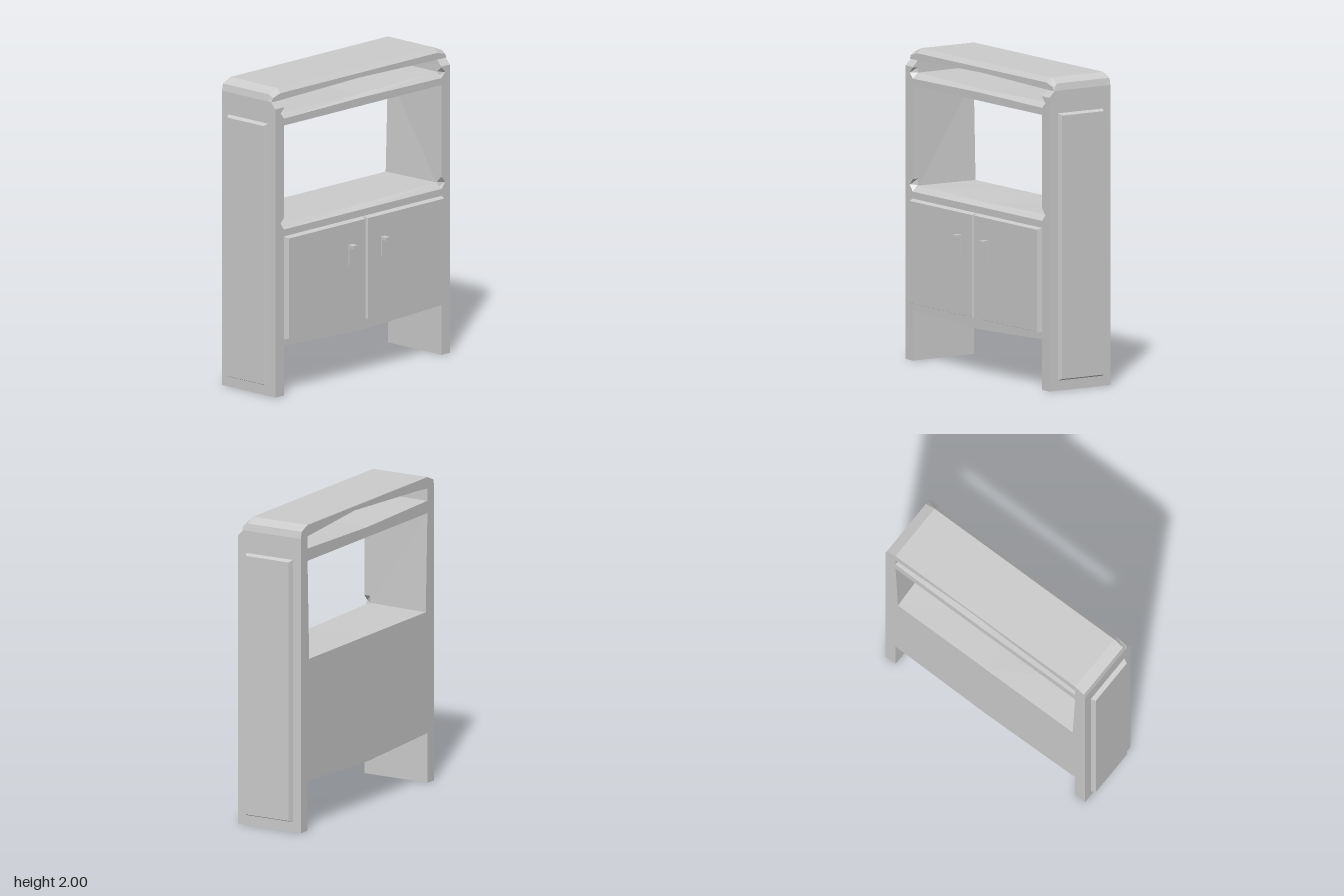
import * as THREE from 'three';
import { ConvexGeometry } from 'three/addons/geometries/ConvexGeometry.js';

const material = new THREE.MeshStandardMaterial({ color: 0xcccccc, flatShading: true });
const BACK = -0.275, FRONT = 0.195, BEVEL = 0.155, INNER = 0.72, OUTER = 0.8;

export function createModel() {
  const model = new THREE.Group();

  const add = (name, geometry, parent = model) => {
    const mesh = new THREE.Mesh(geometry, material);
    mesh.name = name;
    parent.add(mesh);
    return mesh;
  };
  // Box from its minimum and maximum corners
  const box = (x0, x1, y0, y1, z0, z1) =>
    new THREE.BoxGeometry(Math.abs(x1 - x0), y1 - y0, z1 - z0)
      .translate((x0 + x1) / 2, (y0 + y1) / 2, (z0 + z1) / 2);
  const extrude = (points, depth, steps = 1) =>
    new THREE.ExtrudeGeometry(new THREE.Shape(points.map(p => new THREE.Vector2(...p))),
      { depth, steps, bevelEnabled: false });
  // Moves every vertex by a rule that edits the vector in place
  const reshape = (geometry, rule) => {
    const pos = geometry.attributes.position, v = new THREE.Vector3();
    for (let i = 0; i < pos.count; i++) {
      rule(v.fromBufferAttribute(pos, i));
      pos.setXYZ(i, v.x, v.y, v.z);
    }
    geometry.computeVertexNormals();
    return geometry;
  };
  // Raised panel lying in xy, rising along +z to a smaller face
  const raisedPanel = (w, h, d, inset) =>
    reshape(new THREE.BoxGeometry(w, h, d).translate(0, 0, d / 2), v => {
      if (v.z > d / 2) {
        v.x -= Math.sign(v.x) * inset;
        v.y -= Math.sign(v.y) * inset;
      }
    });
  // Full-width block with a bevelled front edge; rule shifts the middle section
  const crossBlock = (y0, yEdge, yTop, middleRule) => {
    const profile = [[BACK, y0], [FRONT, y0], [FRONT, yEdge], [BEVEL, yTop], [BACK, yTop]];
    const geometry = extrude(profile, 2 * INNER, 2).rotateY(-Math.PI / 2).translate(INNER, 0, 0);
    return reshape(geometry, v => { if (Math.abs(v.x) < 0.01) middleRule(v); });
  };

  // Cabinet with a bowed underside, and the upper shelf
  add('cabinetBody', crossBlock(0.325, 1.085, 1.12, v => {
    if (v.y < 0.5) v.y = 0.297;
    else if (v.y > 1.1 && v.z > 0) v.y -= 0.01;
  }));
  add('upperShelf', crossBlock(1.765, 1.81, 1.845, v => {
    if (v.y > 1.83) v.y -= 0.015;
    else if (v.y > 1.8) v.y += 0.008;
  }));

  // Crown with chamfered ends, a bevelled front and an arched underside
  const crown = extrude([
    [-OUTER, 1.925], [-INNER, 1.925], [0, 1.94], [INNER, 1.925], [OUTER, 1.925],
    [0.79, 1.97], [INNER, 2], [-INNER, 2], [-0.79, 1.97],
  ], 1, 2);
  add('crown', reshape(crown, v => {
    const level = Math.round(v.z * 2);
    v.z = [BACK, 0.13, 0.162][level];
    if (level === 0 && Math.abs(v.x) < 0.01) v.y = 1.985;
    if (level === 2) {
      if (v.y > 1.99) v.y = 1.97;
      else if (v.y > 1.96) v.y = 1.95;
    }
  }));

  for (const s of [1, -1]) {
    const side = new THREE.Group();
    side.name = s > 0 ? 'leftSide' : 'rightSide';
    model.add(side);

    // Upright
    add('upright', box(s * INNER, s * OUTER, 0, 1.925, BACK, BEVEL), side);

    // Front edge of the upright, notched where the bevelled shelves meet it
    const strip = extrude([
      [INNER, 0], [OUTER, 0], [OUTER, 1.885], [INNER, 1.885],
      [INNER, 1.88], [0.755, 1.845], [INNER, 1.81],
      [INNER, 1.165], [0.755, 1.125], [INNER, 1.085],
    ].map(([x, y]) => [s * x, y]), FRONT - BEVEL).translate(0, 0, BEVEL);
    add('uprightFrontEdge', reshape(strip, v => {
      if (v.z > BEVEL + 0.01) return;
      if (Math.abs(Math.abs(v.x) - 0.755) < 0.001) v.x = s * INNER;
      if (v.y > 1.883) v.y = 1.925;
    }), side);

    // Inner wall leaning inward toward the lower back corner
    add('innerWallTaper', new ConvexGeometry([
      [INNER, 1.115, BEVEL], [INNER, 1.115, BACK], [0.7, 1.115, BACK], [INNER, 1.765, BACK],
    ].map(([x, y, z]) => new THREE.Vector3(s * x, y, z))), side);

    // Raised outer panel
    add('sidePanel', raisedPanel(0.345, 1.715, 0.03, 0.012)
      .rotateY(s * Math.PI / 2).translate(s * OUTER, 0.9225, -0.0425), side);

    // Door with bevelled edges
    add('door', raisedPanel(0.718, 0.675, 0.034, 0.01)
      .translate(s * 0.361, 0.7025, FRONT), side);

    // Handle: flat plate with a projecting lip
    add('handlePlate', box(s * 0.13, s * 0.166, 0.755, 0.87, 0.229, 0.239), side);
    add('handleLip', box(s * 0.13, s * 0.166, 0.868, 0.888, 0.229, 0.275), side);
  }
  return model;
}
